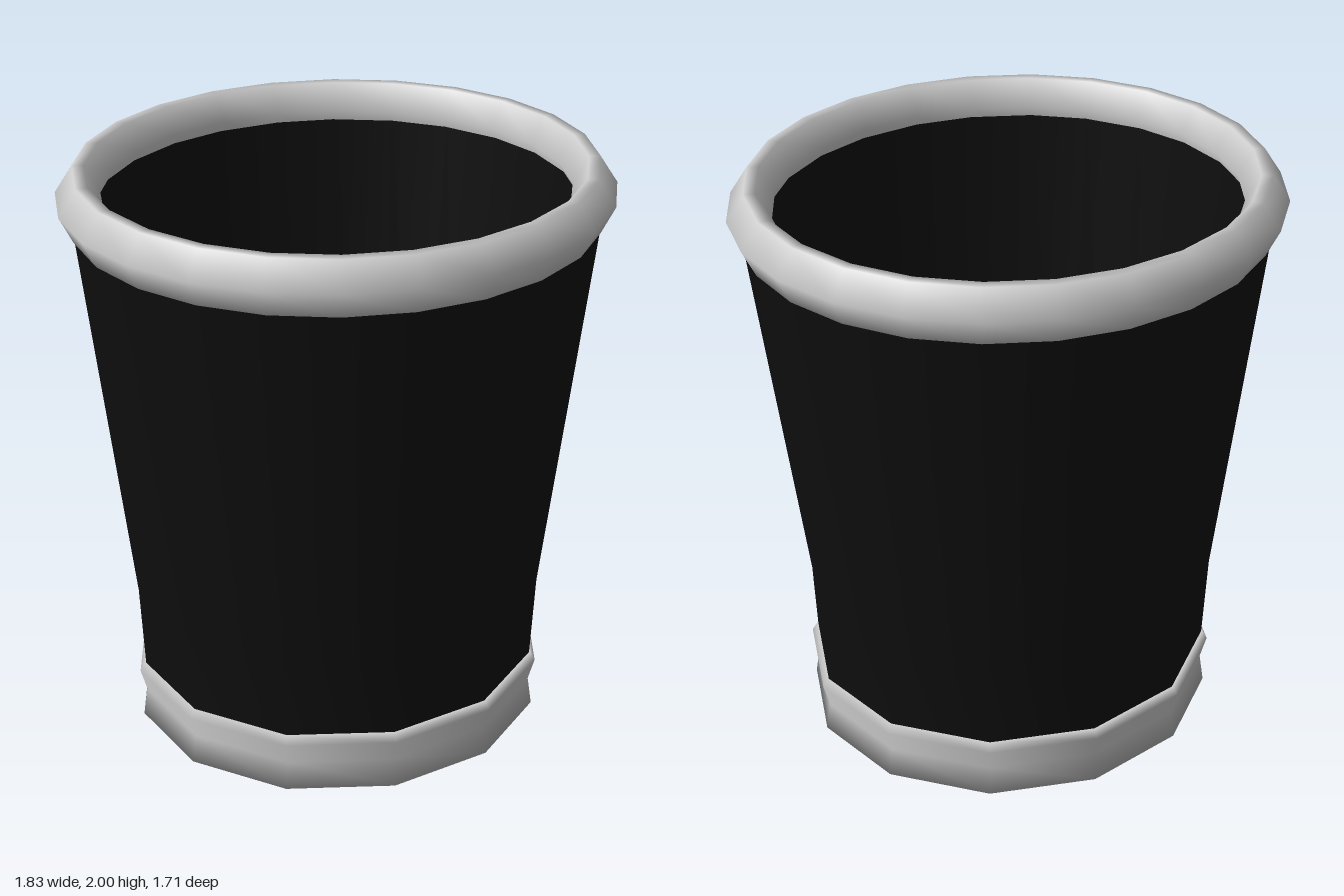
import * as THREE from 'three';

const black = new THREE.MeshStandardMaterial({ color: 0x0e0e0e });
black.name = 'black';
const lightGrey = new THREE.MeshStandardMaterial({ color: 0xcccccc });
lightGrey.name = 'light grey';

function turned(name, profile, segments, material) {
  const points = profile.map(([r, y]) => new THREE.Vector2(r, y));
  const mesh = new THREE.Mesh(new THREE.LatheGeometry(points, segments), material);
  mesh.name = name;
  return mesh;
}

export function createModel() {
  const cup = new THREE.Group();
  cup.name = 'cup';

  // Base band with its underside and the floor inside the cup: 12 sides
  cup.add(turned('base', [
    [0, 0], [0.715, 0], [0.7, 0.1], [0.722, 0.18], [0.705, 0.21], [0, 0.21],
  ], 12, lightGrey));

  // Tapered walls, outside and inside: 24 sides at the top, 12 towards the base
  const outer = turned('outerWall', [[0.7, 0.2], [0.715, 0.51], [0.872, 1.85]], 24, black);
  const inner = turned('innerWall', [[0.79, 1.9], [0.64, 0.2]], 24, black);
  for (const wall of [outer, inner]) {
    const pos = wall.geometry.attributes.position;
    const rows = wall.geometry.parameters.points.length;
    for (let i = 0; i < pos.count; i++) {
      const column = Math.floor(i / rows);
      if (column % 2 === 1 && pos.getY(i) < 0.6) {
        const k = Math.cos(Math.PI / 12);
        pos.setX(i, pos.getX(i) * k);
        pos.setZ(i, pos.getZ(i) * k);
      }
    }
    cup.add(wall);
  }

  // Rolled rim with a six-sided section
  cup.add(turned('rim', [
    [0.815, 1.82], [0.872, 1.82], [0.917, 1.91], [0.858, 2],
    [0.82, 2], [0.77, 1.91], [0.815, 1.82],
  ], 24, lightGrey));

  // Slightly oval plan
  cup.scale.z = 0.934;
  const model = new THREE.Group();
  model.name = 'model';
  model.add(cup);
  return model;
}
